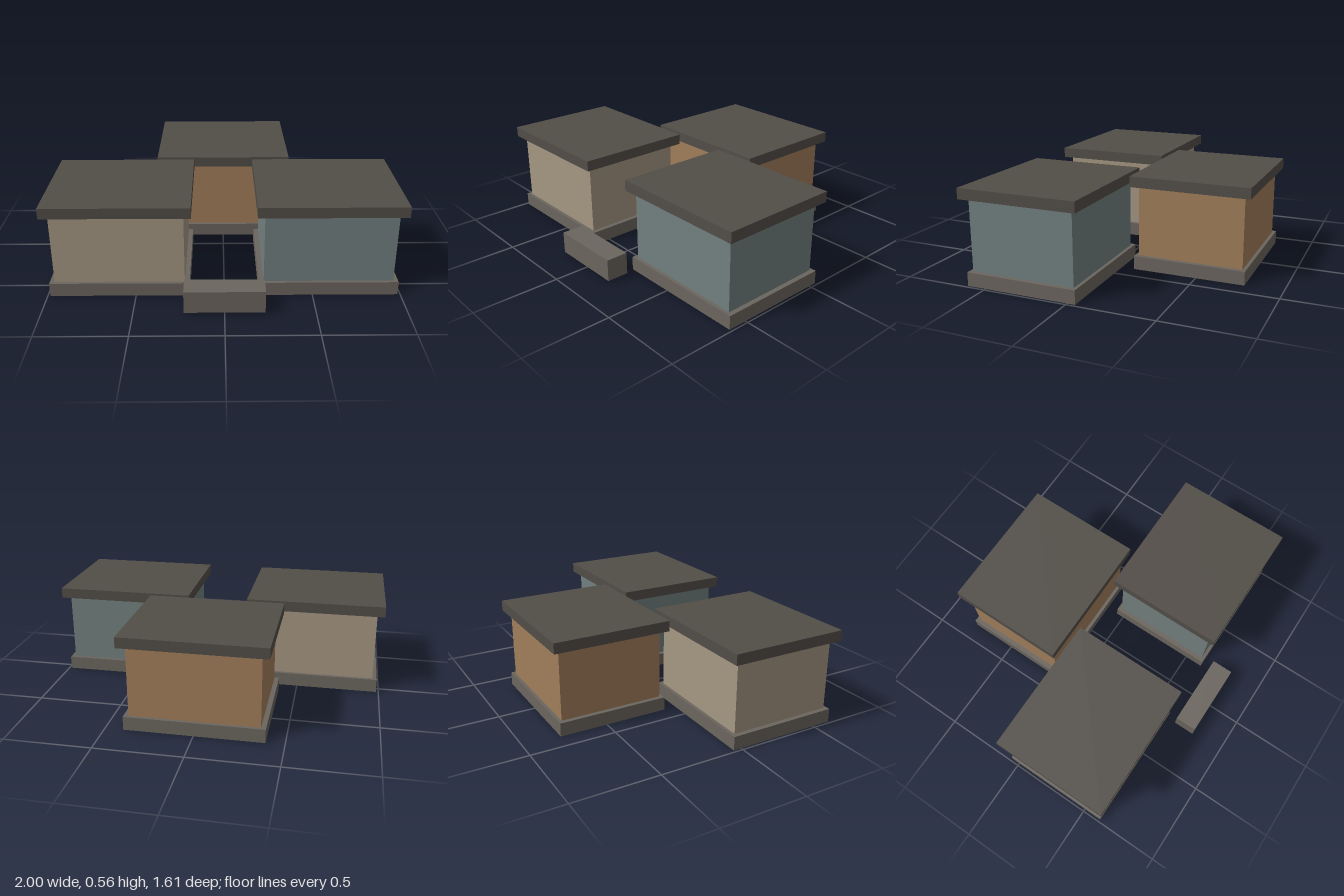
import * as THREE from 'three';

const STONE = 0x6b655e, ROOF = 0x524d47;

// Box standing on height y0
function block(name, color, w, h, d, x, y0, z) {
  const mesh = new THREE.Mesh(
    new THREE.BoxGeometry(w, h, d),
    new THREE.MeshStandardMaterial({ color })
  );
  mesh.name = name;
  mesh.position.set(x, y0 + h / 2, z);
  return mesh;
}

// Hut: stone plinth, coloured walls and overhanging flat roof
function hut(name, wallColor, x, z) {
  const group = new THREE.Group();
  group.name = name;
  group.position.set(x, 0, z);
  group.add(
    block('plinth', STONE, 0.79, 0.08, 0.66, 0, 0, 0),
    block('walls', wallColor, 0.735, 0.494, 0.62, 0, 0.002, 0),
    block('roof', ROOF, 0.82, 0.062, 0.70, 0, 0.495, 0)
  );
  return group;
}

export function createModel() {
  const model = new THREE.Group();
  model.name = 'hutCluster';
  model.add(
    hut('rightHut', 0xa59782, -0.59, 0.283),
    hut('leftHut', 0x72807f, 0.59, 0.283),
    hut('backHut', 0xa17e5b, 0, -0.452),
    // Low stone block in front of the gap
    block('frontBench', STONE, 0.445, 0.13, 0.13, 0, 0.01, 0.738)
  );
  return model;
}
